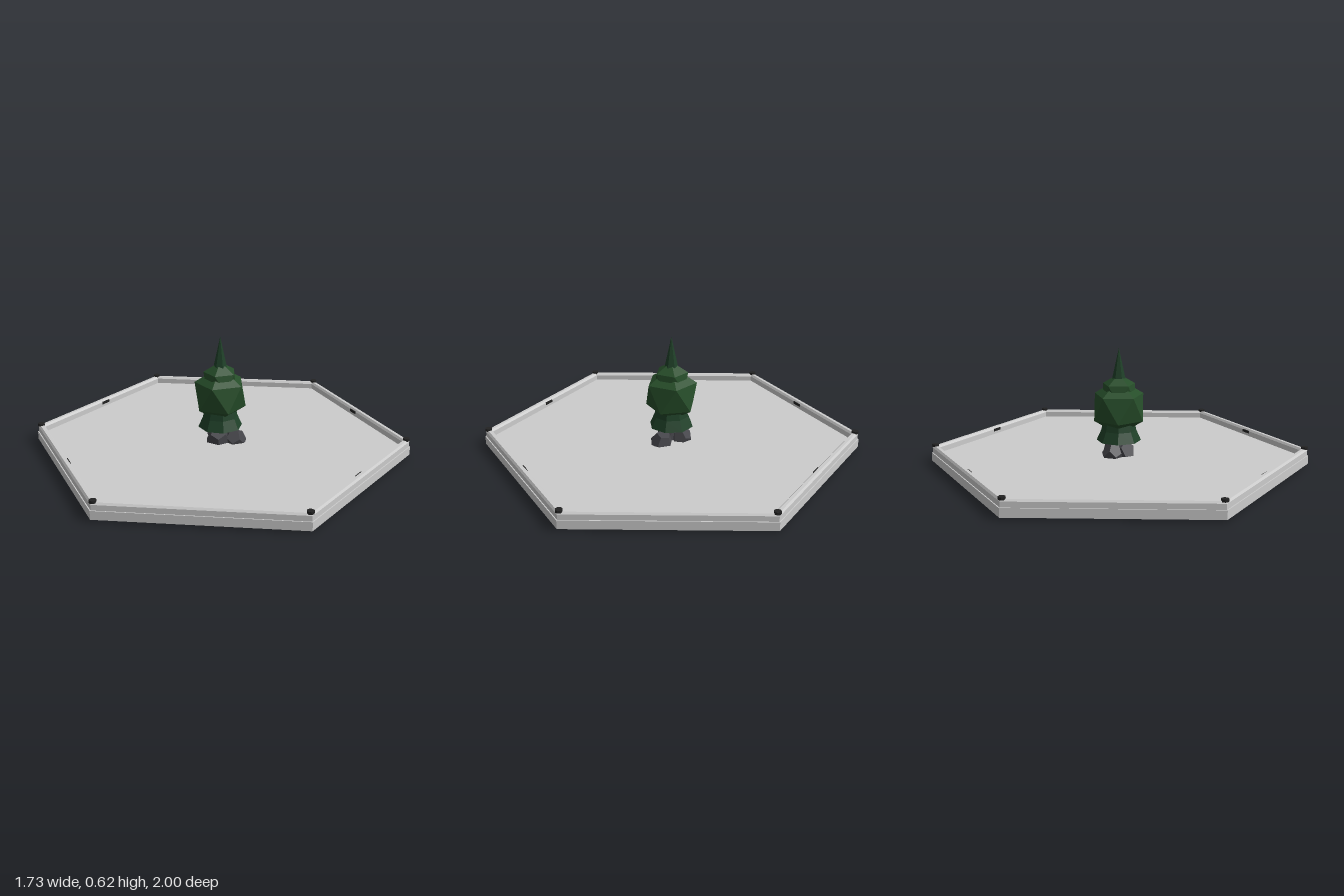
import * as THREE from 'three';

const mat = (color) => new THREE.MeshStandardMaterial({ color, flatShading: true });
const profile = (points) => points.map(([r, y]) => new THREE.Vector2(r, y));

export function createModel() {
  const model = new THREE.Group();
  const stone = mat(0xcccccc), metal = mat(0x222222), rock = mat(0x444449);
  const darkLeaf = mat(0x1f4028), leaf = mat(0x264d29);
  const shell = mat(0xcccccc);
  shell.side = THREE.DoubleSide;

  const add = (name, geometry, material, x = 0, y = 0, z = 0, parent = model) => {
    const mesh = new THREE.Mesh(geometry, material);
    mesh.name = name;
    mesh.position.set(x, y, z);
    parent.add(mesh);
    return mesh;
  };

  // Hexagonal tile, corners on +z and -z: a thin floor on a skirt wall, open underneath
  add('tileShell', new THREE.LatheGeometry(profile([[1, 0.01], [1, 0.055], [0, 0.055]]), 6), shell);

  // Raised rim: a chamfered six-sided band
  add('rim', new THREE.LatheGeometry(profile([
    [0.994, 0.055], [0.994, 0.083], [0.985, 0.093], [0.966, 0.093], [0.956, 0.083], [0.956, 0.055],
  ]), 6), stone);

  // Corner studs and a small clip in the middle of each inner edge
  for (let i = 0; i < 6; i++) {
    const a = i * Math.PI / 3;
    add('cornerStud', new THREE.CylinderGeometry(0.018, 0.018, 0.014, 8), metal,
      0.978 * Math.sin(a), 0.096, 0.978 * Math.cos(a));
    const b = a + Math.PI / 6;
    const clip = add('edgeClip', new THREE.BoxGeometry(0.055, 0.014, 0.008), metal,
      0.828 * Math.sin(b), 0.078, 0.828 * Math.cos(b));
    clip.rotation.y = b;
  }

  // Rocks sunk through the floor, each cut flat underneath: x, z, radius, height, bottom, turn
  const rocks = new THREE.Group();
  rocks.name = 'rocks';
  model.add(rocks);
  [
    [0.075, -0.03, 0.061, 0.122, 0.006, 0.4],
    [0.005, 0.022, 0.068, 0.14, 0, 2.2],
    [-0.042, -0.032, 0.057, 0.13, 0.003, 1.3],
  ].forEach(([x, z, r, height, bottom, turn]) => {
    const g = new THREE.DodecahedronGeometry(r);
    g.rotateX(turn * 0.7).rotateY(turn);
    g.scale(1, (height - 0.055) / r, 1).translate(0, 0.055, 0);
    const p = g.attributes.position;
    for (let i = 0; i < p.count; i++) p.setY(i, Math.max(p.getY(i), bottom));
    g.computeVertexNormals();
    add('rock', g, rock, x, 0, z, rocks);
  });

  // Tree: flared skirt, two faceted crowns and a spire
  const tree = new THREE.Group();
  tree.name = 'tree';
  model.add(tree);
  add('lowerFoliage', new THREE.LatheGeometry(profile([
    [0, 0.134], [0.117, 0.134], [0.092, 0.19], [0.08, 0.25], [0, 0.26],
  ]), 8), darkLeaf, 0, 0, 0, tree);

  // Icosahedron standing on a corner, with an upper-ring corner towards +x
  const crown = (name, r, y) => {
    const g = new THREE.IcosahedronGeometry(r);
    g.applyQuaternion(new THREE.Quaternion().setFromUnitVectors(
      new THREE.Vector3(0, 1, (1 + Math.sqrt(5)) / 2).normalize(), new THREE.Vector3(0, 1, 0)));
    const p = g.attributes.position;
    for (let i = 0; i < p.count; i++) {
      const h = p.getY(i);
      if (h > r * 0.2 && h < r * 0.8) {
        g.rotateY(Math.atan2(p.getZ(i), p.getX(i)));
        break;
      }
    }
    add(name, g, leaf, 0, y, 0, tree);
  };
  crown('middleFoliage', 0.15, 0.312);
  crown('upperFoliage', 0.098, 0.391);
  add('spire', new THREE.ConeGeometry(0.04, 0.185, 6), darkLeaf, 0, 0.5325, 0, tree);

  return model;
}
